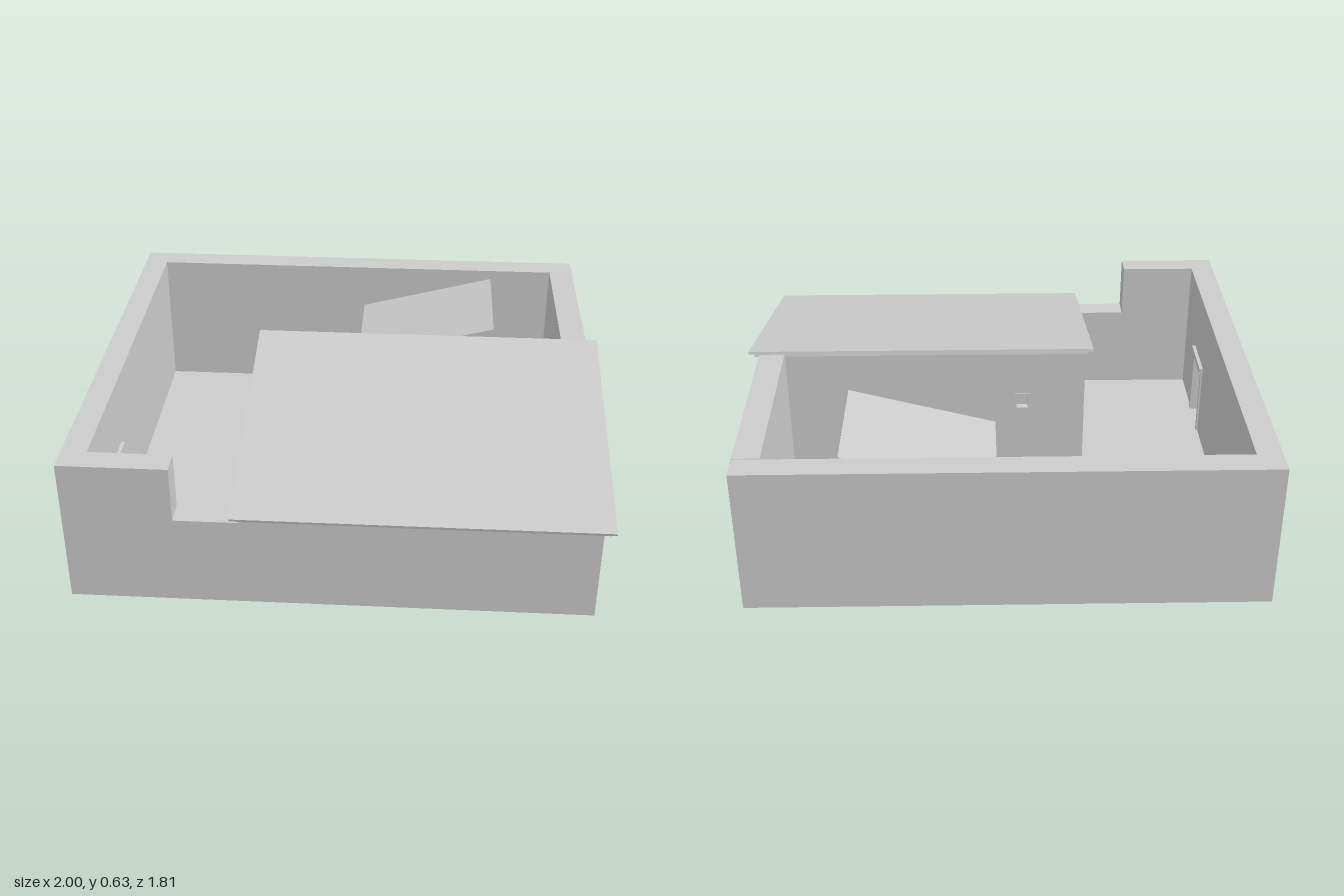
import * as THREE from 'three';

const mat = new THREE.MeshStandardMaterial({ color: 0xcccccc, flatShading: true, side: THREE.DoubleSide });

// Compound extents: outer (capital) and inner (small) wall faces
const X0 = -0.985, X1 = 0.96, Z0 = -0.91, Z1 = 0.87;
const x0 = -0.89, x1 = 0.86, z0 = -0.81, z1 = 0.775;
const H = 0.58, LOW = 0.36, RIDGE_Z = -0.09, RIDGE_Y = 0.61, EAVE = 0.385;
const HOUSE_X = -0.34, HOUSE_Z = -0.075, STEP_X = -0.58;
const DOOR = { a: 0.315, b: 0.505, top: 0.3 };

// Height of the gabled right wall at depth z
const gableY = z => z < RIDGE_Z
  ? H + (RIDGE_Y - H) * (z - Z0) / (RIDGE_Z - Z0)
  : RIDGE_Y + (EAVE - RIDGE_Y) * (z - RIDGE_Z) / (Z1 - RIDGE_Z);

const shapeOf = pts => new THREE.Shape(pts.map(p => new THREE.Vector2(...p)));

export function createModel() {
  const root = new THREE.Group();

  const add = (name, geo, parent = root) => {
    const m = new THREE.Mesh(geo, mat);
    m.name = name;
    parent.add(m);
    return m;
  };
  const box = (name, w, h, d, x, y, z, parent) => {
    const m = add(name, new THREE.BoxGeometry(w, h, d), parent);
    m.position.set(x, y, z);
    return m;
  };
  // Flat outline placed in space by a mapping (u, v) -> [x, y, z]
  const sheet = (name, pts, map, parent) => {
    const geo = new THREE.ShapeGeometry(shapeOf(pts));
    const p = geo.attributes.position;
    for (let i = 0; i < p.count; i++) p.setXYZ(i, ...map(p.getX(i), p.getY(i)));
    geo.computeVertexNormals();
    return add(name, geo, parent);
  };
  const rect = (a, b, c, d) => [[a, b], [c, b], [c, d], [a, d]];
  const doorNotch = [[DOOR.b, 0], [DOOR.b, DOOR.top], [DOOR.a, DOOR.top], [DOOR.a, 0]];

  // Compound walls: open-bottomed shells with an outer and an inner face
  const walls = new THREE.Group();
  walls.name = 'compoundWalls';
  root.add(walls);
  const faces = [['outer', X0, X1, Z0, Z1], ['inner', x0, x1, z0, z1]];
  for (const [side, xa, xb, za, zb] of faces) {
    sheet(side + 'BackWall', rect(xa, 0, xb, H), (u, v) => [u, v, za], walls);
    sheet(side + 'LeftGateWall', [[za, 0], [za, H], [zb, H], [zb, 0], ...doorNotch],
      (u, v) => [xa, v, u], walls);
    sheet(side + 'GableWall',
      [[za, 0], [za, gableY(za)], [RIDGE_Z, RIDGE_Y], [zb, gableY(zb)], [zb, 0]],
      (u, v) => [xb, v, u], walls);
    sheet(side + 'FrontWall', [[xa, 0], [xa, H], [STEP_X, H], [STEP_X, LOW], [HOUSE_X, LOW],
      [HOUSE_X, EAVE], [xb, EAVE], [xb, 0]], (u, v) => [u, v, zb], walls);
  }

  // Wall tops
  const flat = y => (u, v) => [u, y, v];
  sheet('backWallTop', rect(X0, Z0, X1, z0), flat(H), walls);
  sheet('leftWallTop', rect(X0, z0, x0, Z1), flat(H), walls);
  sheet('frontWallTop', rect(x0, z1, STEP_X, Z1), flat(H), walls);
  sheet('frontWallStep', rect(z1, LOW, Z1, H), (u, v) => [STEP_X, v, u], walls);
  sheet('frontWallLowTop', rect(STEP_X, z1, HOUSE_X, Z1), flat(LOW), walls);
  sheet('houseFrontWallTop', rect(HOUSE_X, z1, x1, Z1), flat(EAVE), walls);
  for (const [a, b] of [[z0, RIDGE_Z], [RIDGE_Z, Z1]])
    sheet('gableWallTop', rect(x1, a, X1, b), (u, v) => [u, gableY(v), v], walls);

  // Reveals of the gate opening
  for (const z of [DOOR.a, DOOR.b])
    sheet('gateReveal', rect(X0, 0, x0, DOOR.top), (u, v) => [u, v, z], walls);
  sheet('gateHead', rect(X0, DOOR.a, x0, DOOR.b), flat(DOOR.top), walls);

  sheet('floor', rect(-0.98, -0.82, x1, z1), flat(0.001));

  // House side wall with doorway
  const T = 0.06;
  const sideWall = new THREE.ExtrudeGeometry(shapeOf([[HOUSE_Z, 0], [HOUSE_Z, 0.603], [Z1, EAVE],
    [Z1, LOW], [z1, LOW], [z1, 0], ...doorNotch]), { depth: T, bevelEnabled: false });
  add('houseSideWall', sideWall.rotateY(-Math.PI / 2).translate(HOUSE_X + T, 0, 0));

  // House back wall with small window
  const win = { a: -0.115, b: -0.06, lo: 0.35, hi: 0.415 };
  const backShape = shapeOf(rect(HOUSE_X, 0, x1, 0.603));
  backShape.holes.push(new THREE.Path(
    rect(win.a, win.lo, win.b, win.hi).map(p => new THREE.Vector2(...p))));
  add('houseBackWall', new THREE.ExtrudeGeometry(backShape, { depth: T, bevelEnabled: false })
    .translate(0, 0, HOUSE_Z));

  // Window frame and pane
  const wx = (win.a + win.b) / 2, wy = (win.lo + win.hi) / 2;
  const ww = win.b - win.a, wh = win.hi - win.lo;
  for (const s of [-1, 1]) {
    box('windowJamb', 0.008, wh, 0.03, wx + s * ww / 2, wy, HOUSE_Z + 0.01);
    box('windowRail', ww + 0.008, 0.008, 0.03, wx, wy + s * wh / 2, HOUSE_Z + 0.01);
  }
  box('windowPane', ww, wh, 0.006, wx, wy, HOUSE_Z + 0.025);

  // Door with frame, spanning wall faces xa..xb
  const doorSet = (name, xa, xb) => {
    const g = new THREE.Group();
    g.name = name;
    root.add(g);
    const xm = (xa + xb) / 2, d = xb - xa, zm = (DOOR.a + DOOR.b) / 2, w = DOOR.b - DOOR.a;
    for (const z of [DOOR.a, DOOR.b])
      box('doorJamb', d + 0.014, DOOR.top, 0.018, xm, DOOR.top / 2, z, g);
    box('doorLintel', d + 0.03, 0.022, w + 0.03, xm, DOOR.top + 0.006, zm, g);
    box('doorLeaf', 0.012, DOOR.top, w, xa + 0.02, DOOR.top / 2, zm, g);
  };
  doorSet('compoundGate', X0, x0);
  doorSet('houseDoor', HOUSE_X, HOUSE_X + T);

  // Sloped house roof in two layers
  const pitch = Math.atan(0.228);
  box('houseRoof', 1.37, 0.01, 1.023, 0.315, 0.509, 0.405).rotation.x = pitch;
  box('houseRoofDeck', 1.33, 0.014, 0.995, 0.315, 0.496, 0.405).rotation.x = pitch;

  // Small shed in the yard
  add('shedWalls', new THREE.ExtrudeGeometry(
    shapeOf([[0.04, 0], [0.575, 0], [0.575, 0.543], [0.04, 0.402]]),
    { depth: 0.41, bevelEnabled: false }).translate(0, 0, -0.72));
  box('shedRoof', 0.588, 0.01, 0.485, 0.31, 0.48, -0.5275).rotation.z = Math.atan(0.15 / 0.57);

  return root;
}
